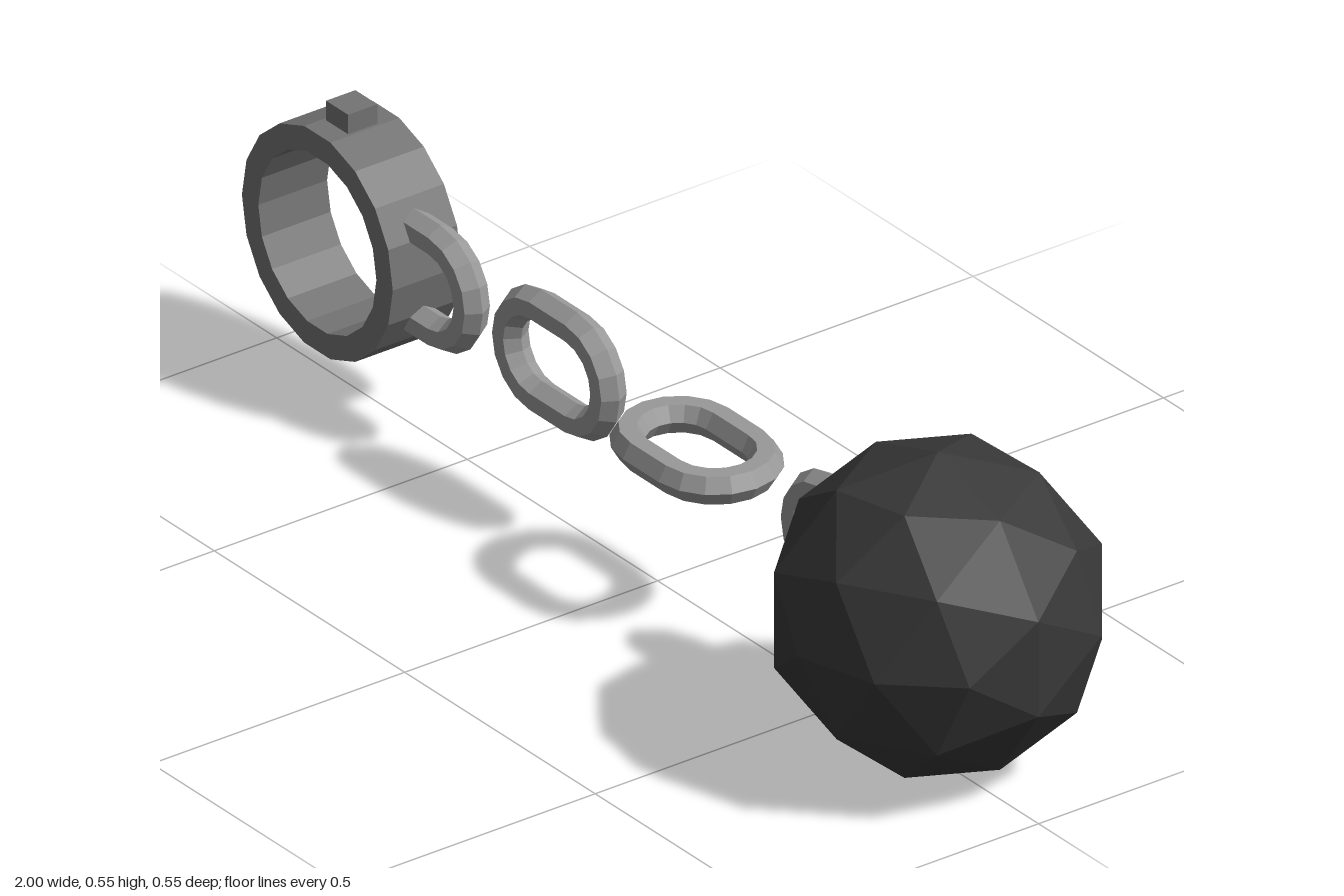
import * as THREE from 'three';

const Y = 0.28; // height of the chain's axis
const flat = (color) => new THREE.MeshStandardMaterial({ color, flatShading: true });
const iron = flat(0x383838);
const cuffSteel = flat(0x747474);
const linkSteel = flat(0x999999);

// Hexagonal bar swept around an oval; an open link keeps one rounded end and two legs.
function linkGeometry(open) {
  const bend = 0.082, straight = 0.047, bar = 0.029, arc = 8, sides = 6;
  const path = []; // [centre x, angle of the outward direction]
  if (open) path.push([-straight, -Math.PI / 2]);
  for (const end of open ? [0] : [0, 1]) {
    for (let i = 0; i <= arc; i++) {
      path.push([end ? -straight : straight, -Math.PI / 2 + Math.PI * (end + i / arc)]);
    }
  }
  if (open) path.push([-straight, Math.PI / 2]);

  const positions = [], index = [];
  for (const [cx, angle] of path) {
    for (let j = 0; j < sides; j++) {
      const a = (j / sides) * Math.PI * 2;
      const r = bend + bar * Math.cos(a);
      positions.push(cx + r * Math.cos(angle), r * Math.sin(angle), bar * Math.sin(a));
    }
  }
  const n = path.length;
  for (let i = 0; i < (open ? n - 1 : n); i++) {
    for (let j = 0; j < sides; j++) {
      const k = (j + 1) % sides, next = (i + 1) % n;
      const a = i * sides + j, b = next * sides + j, c = next * sides + k, d = i * sides + k;
      index.push(a, b, c, a, c, d);
    }
  }
  // Close the ends of the open link's legs
  if (open) {
    const last = (n - 1) * sides;
    for (let j = 1; j < sides - 1; j++) {
      index.push(0, j, j + 1, last, last + j + 1, last + j);
    }
  }
  const geometry = new THREE.BufferGeometry();
  geometry.setAttribute('position', new THREE.Float32BufferAttribute(positions, 3));
  geometry.setIndex(index);
  geometry.computeVertexNormals();
  return geometry;
}

export function createModel() {
  const model = new THREE.Group();
  model.name = 'ballAndChain';
  const add = (name, geometry, material, x, y) => {
    const mesh = new THREE.Mesh(geometry, material);
    mesh.name = name;
    mesh.position.set(x, y, 0);
    model.add(mesh);
    return mesh;
  };

  // Faceted ball
  const ball = add('ball', new THREE.IcosahedronGeometry(0.277, 1), iron, 0.736, 0.277);
  ball.rotation.y = -1.0172;

  // Cuff ring with a square lock on top
  const inner = 0.155, outer = 0.198, half = 0.068;
  const profile = [[inner, -half], [outer, -half], [outer, half], [inner, half], [inner, -half]]
    .map(([r, h]) => new THREE.Vector2(r, h));
  const cuff = add('cuff', new THREE.LatheGeometry(profile, 18), cuffSteel, -0.803, Y);
  cuff.rotation.set(Math.PI / 2, Math.PI / 2, 0, 'XYZ');
  add('cuffLock', new THREE.BoxGeometry(0.058, 0.07, 0.058), cuffSteel, -0.803, 0.475);

  // Chain: open loops at both ends, two closed links between
  const closedLink = linkGeometry(false), openLink = linkGeometry(true);
  add('cuffLoop', openLink, linkSteel, -0.617, Y);
  add('uprightLink', closedLink, linkSteel, -0.258, Y);
  add('flatLink', closedLink, linkSteel, 0.103, Y).rotation.x = Math.PI / 2;
  add('ballLoop', openLink, linkSteel, 0.5, Y).rotation.y = Math.PI;

  return model;
}
